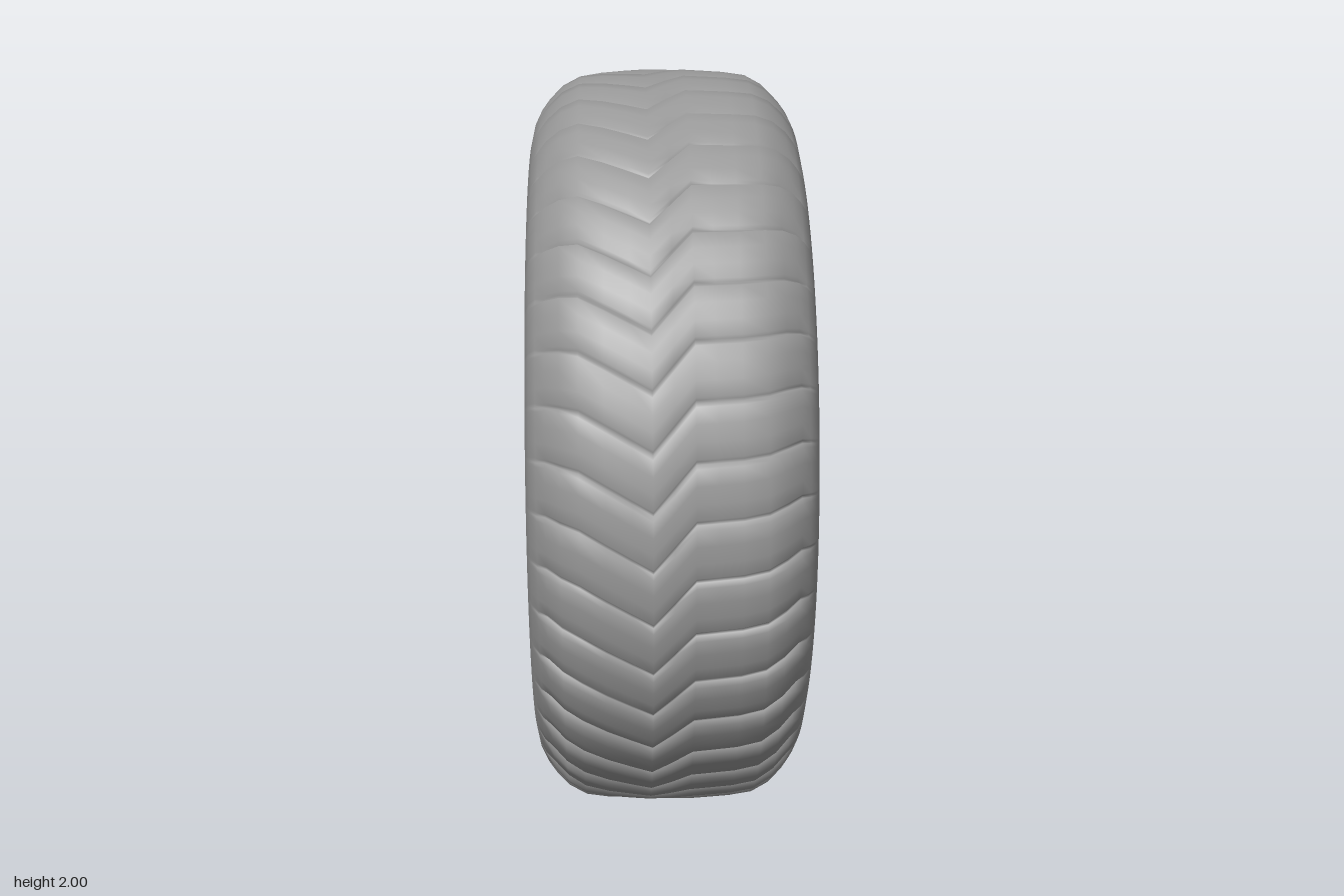
import * as THREE from 'three';

const rubber = new THREE.MeshStandardMaterial({ color: 0x999999, side: THREE.DoubleSide });
rubber.name = 'plain grey';

// Wheel axis runs along x at y = 1; phi is measured from -z up to +y
const place = (x, r, phi) => [x, 1 + r * Math.sin(phi), -r * Math.cos(phi)];

// Smooth surface from rows of points, closed around the row direction
function loopSurface(name, rows, cols, pointAt) {
  const pos = [], index = [];
  for (let i = 0; i < rows; i++)
    for (let j = 0; j < cols; j++) pos.push(...pointAt(i, j));
  for (let i = 0; i < rows; i++)
    for (let j = 0; j < cols - 1; j++) {
      const a = i * cols + j, b = ((i + 1) % rows) * cols + j;
      index.push(a, a + 1, b, b, a + 1, b + 1);
    }
  const geo = new THREE.BufferGeometry();
  geo.setAttribute('position', new THREE.Float32BufferAttribute(pos, 3));
  geo.setIndex(index);
  geo.computeVertexNormals();
  const mesh = new THREE.Mesh(geo, rubber);
  mesh.name = name;
  return mesh;
}

const ring = (name, profile, n = 96) =>
  loopSurface(name, n, profile.length, (i, j) =>
    place(profile[j][0], profile[j][1], (i / n) * Math.PI * 2));

// Piecewise linear lookup in [key, value] pairs
function lookup(table, k) {
  if (k <= table[0][0]) return table[0][1];
  for (let i = 1; i < table.length; i++) {
    const [k0, v0] = table[i - 1], [k1, v1] = table[i];
    if (k <= k1) return v0 + (v1 - v0) * (k - k0) / (k1 - k0);
  }
  return table[table.length - 1][1];
}

// Tyre: sidewalls plus tread with zigzag cross grooves
function makeTyre() {
  const half = [[0.26, 0.59], [0.285, 0.635], [0.315, 0.665], [0.338, 0.71], [0.349, 0.76],
    [0.35, 0.81], [0.339, 0.86], [0.322, 0.895], [0.3, 0.925], [0.265, 0.96], [0.22, 0.984],
    [0.16, 0.993], [0.1, 0.997], [0.05, 1]];
  const profile = [...half, [0, 1], ...half.map(([x, r]) => [-x, r]).reverse()];
  const blocks = 44;
  const step = [0, 0.05, 0.12, 0.4, 0.7, 0.96];
  const drop = [1, 0.9, 0, 0.05, 0.2, 0.5];
  const zigzag = [[-0.3, 0], [-0.22, 0.02], [-0.05, 0.12], [0.05, 0], [0.2, -0.01], [0.3, -0.045]];
  const depth = [[0.88, 0], [0.93, 0.028], [0.985, 0.016], [1, 0.014]];
  return loopSurface('tyre', blocks * 6, profile.length, (i, j) => {
    const [x, r] = profile[j];
    const phi = (Math.floor(i / 6) + step[i % 6]) / blocks * Math.PI * 2 + lookup(zigzag, x);
    return place(x, r - lookup(depth, r) * drop[i % 6], phi);
  });
}

// Depth of the wheel disc by radius
const dish = [[0.1, 0.215], [0.14, 0.215], [0.19, 0.228], [0.24, 0.255], [0.27, 0.272], [0.3, 0.282],
  [0.33, 0.28], [0.36, 0.268], [0.4, 0.24], [0.45, 0.2], [0.5, 0.16], [0.55, 0.128], [0.58, 0.115]];
const dishRing = (name, r0, r1) => ring(name, Array.from({ length: 7 }, (_, i) => {
  const r = r0 + (r1 - r0) * i / 6;
  return [lookup(dish, r), r];
}));

// Perimeter of a unit square, walked corner to corner
const SIDE = 12;
const square = Array.from({ length: SIDE * 4 }, (_, i) => {
  const t = (i % SIDE) / SIDE * 2 - 1;
  return [[t, -1], [1, t], [-t, 1], [-1, -t]][Math.floor(i / SIDE)];
});

// Band of the disc pierced by rounded holes, each in its own sector
function piercedBand(name, degrees, r0, r1, holeR, halfR, halfWidths, power, lift) {
  const group = new THREE.Group();
  group.name = name;
  const count = degrees.length, steps = 8;
  const rad = THREE.MathUtils.degToRad;
  degrees.forEach((deg, n) => {
    const prev = n ? degrees[n - 1] : degrees[count - 1] - 360;
    const next = n < count - 1 ? degrees[n + 1] : degrees[0] + 360;
    const before = rad(deg - prev) / 2, after = rad(next - deg) / 2;
    const halfPhi = halfWidths[n] / holeR;
    const point = (i, k, back = 0) => {
      const [u, v] = square[i];
      const s = 1 / Math.pow(Math.abs(u) ** power + Math.abs(v) ** power, 1 / power);
      const inner = [u * s * halfPhi, v * s * halfR];
      const outer = [u * (u < 0 ? before : after), v * (v < 0 ? holeR - r0 : r1 - holeR)];
      const phi = rad(deg) + inner[0] + (outer[0] - inner[0]) * k;
      const r = holeR + inner[1] + (outer[1] - inner[1]) * k;
      return place(lookup(dish, r) + lift * (1 - k) ** 3 - back, r, phi);
    };
    group.add(loopSurface(name + 'Plate', square.length, steps + 1, (i, j) => point(i, (j / steps) ** 1.4)));
    group.add(loopSurface(name + 'HoleWall', square.length, 2, (i, j) => point(i, 0, j * 0.03)));
  });
  return group;
}

export function createModel() {
  const wheel = new THREE.Group();
  wheel.name = 'wheel';
  wheel.add(makeTyre());

  // Rim barrel with a rolled lip on both sides
  wheel.add(ring('rimBarrel', [[-0.27, 0.645], [-0.295, 0.64], [-0.3, 0.625], [-0.285, 0.61], [-0.24, 0.6],
    [-0.15, 0.58], [-0.05, 0.56], [0.05, 0.555], [0.13, 0.565], [0.19, 0.575], [0.225, 0.585],
    [0.245, 0.605], [0.275, 0.61], [0.295, 0.625], [0.295, 0.64], [0.27, 0.65]]));

  // Step where the disc meets the barrel at the back
  wheel.add(ring('discFlange', [[-0.05, 0.565], [-0.06, 0.55], [-0.06, 0.52], [-0.05, 0.512],
    [0.03, 0.515], [0.12, 0.53]]));

  // Disc: hub plate, lug holes, crown, vent slots and outer edge
  wheel.add(dishRing('hubPlate', 0.1, 0.14));
  wheel.add(piercedBand('lugBand', [6, 84, 160, 231, 295], 0.14, 0.27, 0.2, 0.028,
    [0.028, 0.028, 0.028, 0.028, 0.028], 2.5, 0.015));
  wheel.add(dishRing('crown', 0.27, 0.36));
  wheel.add(piercedBand('ventBand', [29, 76, 134, 208, 276, 336], 0.36, 0.54, 0.455, 0.06,
    [0.075, 0.09, 0.1, 0.125, 0.14, 0.095], 3.5, 0));
  wheel.add(dishRing('discEdge', 0.54, 0.57));

  // Eight-sided hub cap
  const cap = new THREE.Mesh(new THREE.CylinderGeometry(0.115, 0.122, 0.075, 8), rubber);
  cap.name = 'hubCap';
  cap.rotation.set(Math.PI / 8, 0, -Math.PI / 2);
  cap.position.set(0.245, 1, 0);
  wheel.add(cap);
  return wheel;
}
